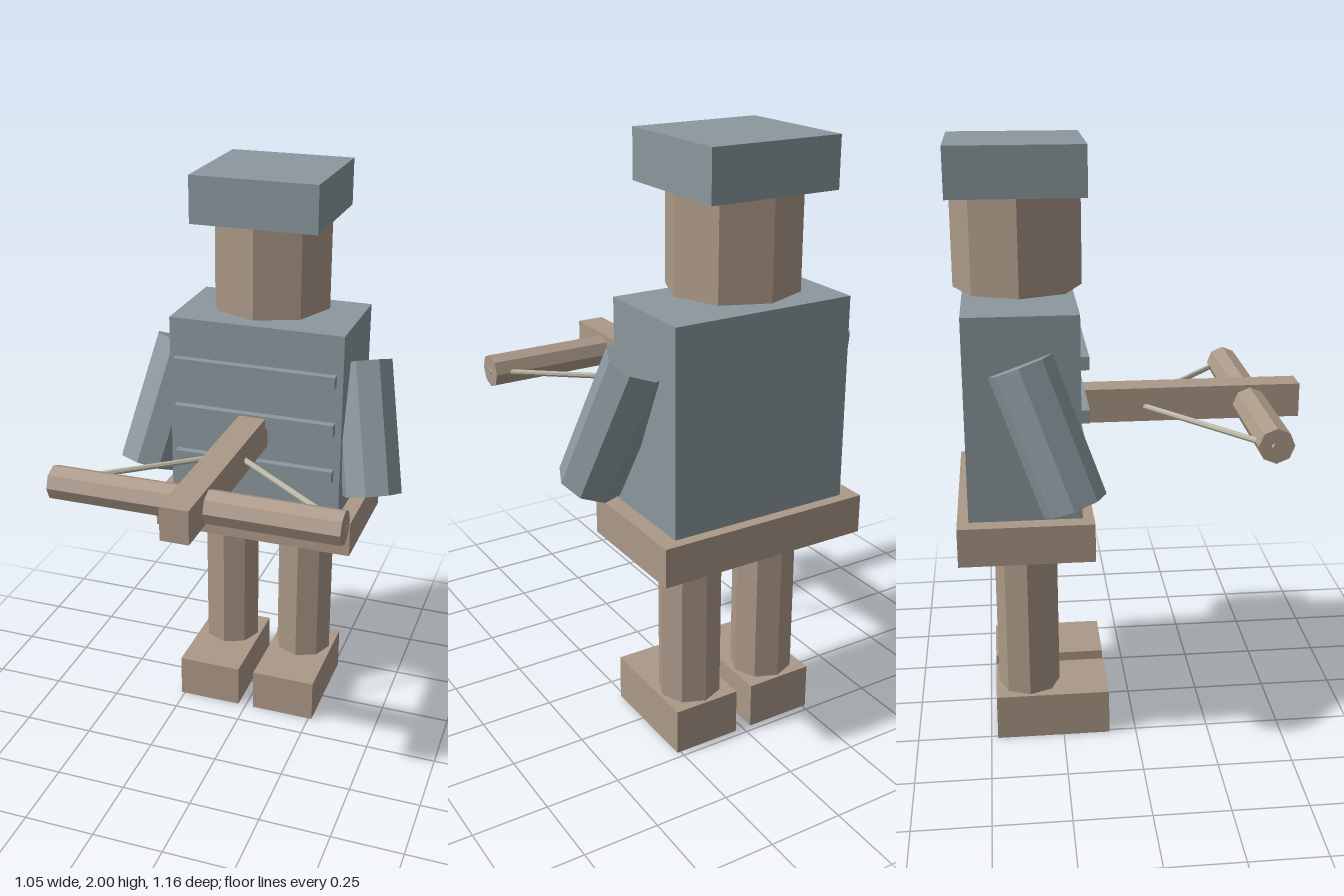
import * as THREE from 'three';

const mat = (name, color) => {
  const m = new THREE.MeshStandardMaterial({ color, flatShading: true });
  m.name = name;
  return m;
};

export function createModel() {
  const model = new THREE.Group();
  model.name = 'crossbowman';
  const steel = mat('steel grey', 0x8b989e);
  const leather = mat('leather brown', 0xac9988);
  const cord = mat('pale cord', 0xbab5a4);
  const bodyZ = -0.362;

  const add = (name, geometry, material, x, y, z) => {
    const mesh = new THREE.Mesh(geometry, material);
    mesh.name = name;
    mesh.position.set(x, y, z);
    model.add(mesh);
    return mesh;
  };
  const box = (name, material, w, h, d, x, y, z) =>
    add(name, new THREE.BoxGeometry(w, h, d), material, x, y, z);
  const rod = (name, material, r, length, x, y, z) =>
    add(name, new THREE.CylinderGeometry(r, r, length, 8), material, x, y, z);

  // Head and helmet
  box('helmet', steel, 0.44, 0.16, 0.435, 0, 1.92, bodyZ);
  rod('head', leather, 0.21, 0.31, 0, 1.685, bodyZ);

  // Torso with three chest ribs, and the belt slab
  box('torso', steel, 0.625, 0.67, 0.366, 0, 1.165, bodyZ);
  for (const y of [0.99, 1.165, 1.34])
    box('chestRib', steel, 0.58, 0.043, 0.036, 0, y, -0.169);
  box('belt', leather, 0.735, 0.13, 0.44, 0, 0.765, bodyZ);

  // Limbs, mirrored
  for (const s of [-1, 1]) {
    const side = s > 0 ? 'left' : 'right';
    rod(side + 'Leg', leather, 0.105, 0.545, s * 0.146, 0.428, bodyZ);
    box(side + 'Foot', leather, 0.233, 0.158, 0.385, s * 0.146, 0.079, -0.285);
    const arm = rod(side + 'Arm', steel, 0.105, 0.466, s * 0.378, 1.136, -0.288);
    arm.rotation.set(-0.35, 0, s * 0.2);
  }

  // Crossbow: stock, bow bar and the drawn string
  box('crossbowStock', leather, 0.095, 0.115, 0.76, 0, 1.122, 0.2);
  rod('crossbowBow', leather, 0.057, 0.966, 0, 1.114, 0.409).rotation.z = Math.PI / 2;
  for (const s of [-1, 1]) {
    const nock = new THREE.Vector3(0, 1.114, 0.02);
    const tip = new THREE.Vector3(s * 0.483, 1.114, 0.405);
    const dir = tip.clone().sub(nock);
    const mid = nock.clone().add(tip).multiplyScalar(0.5);
    const string = rod('crossbowString', cord, 0.01, dir.length(), mid.x, mid.y, mid.z);
    string.quaternion.setFromUnitVectors(new THREE.Vector3(0, 1, 0), dir.normalize());
  }
  return model;
}
